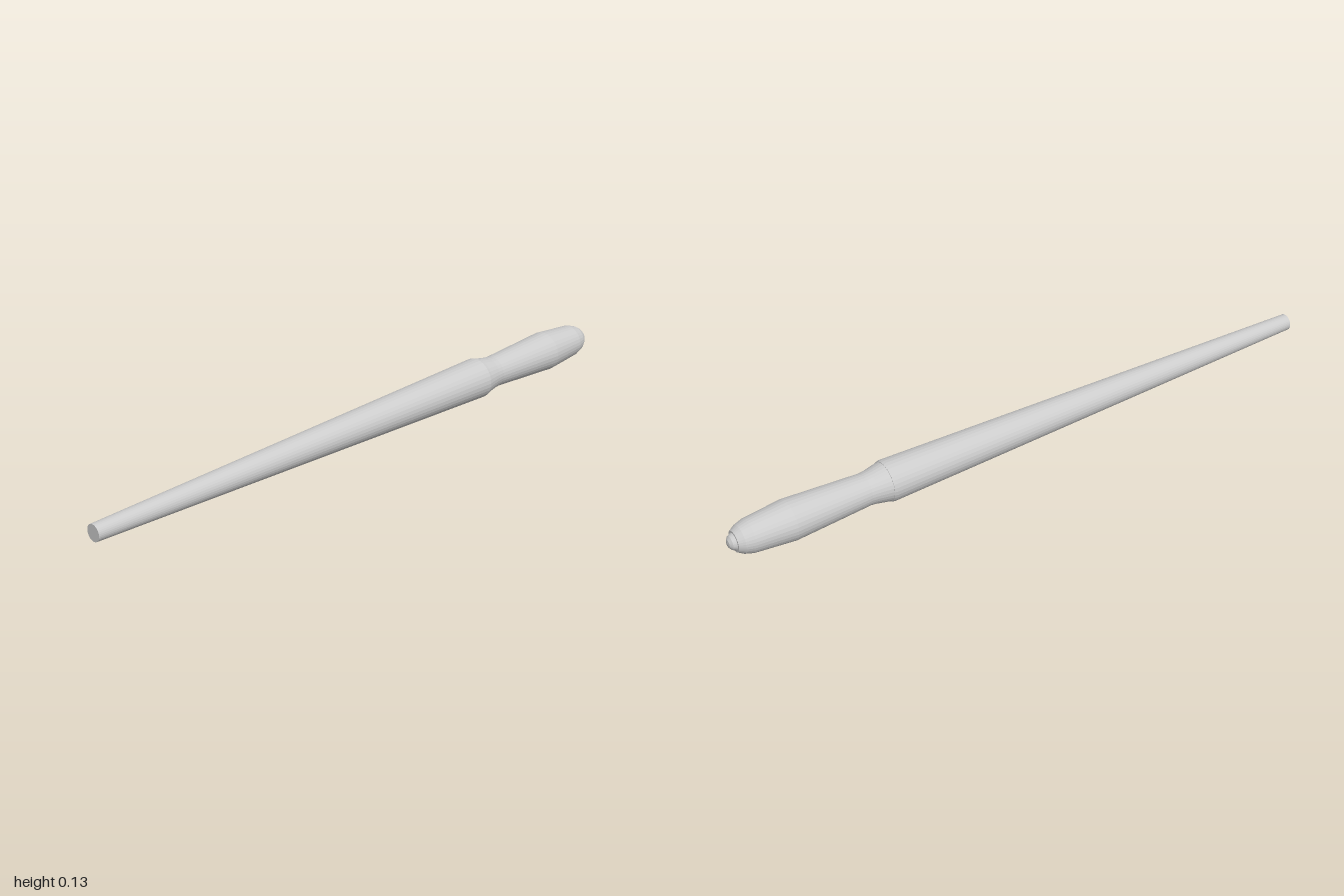
import * as THREE from 'three';

const AXIS_Y = 0.0645;
const SIDES = 32;

// Turned part lying along z; profile is [radius, z] from back to front
function turned(name, profile, material) {
  const geometry = new THREE.LatheGeometry(profile.map(([r, z]) => new THREE.Vector2(r, z)), SIDES);
  geometry.rotateX(Math.PI / 2);
  const mesh = new THREE.Mesh(geometry, material);
  mesh.name = name;
  mesh.position.y = AXIS_Y;
  return mesh;
}

export function createModel() {
  const group = new THREE.Group();
  group.name = 'taperedRod';
  const material = new THREE.MeshStandardMaterial({ color: 0xcccccc, flatShading: true });

  // Long tapered shaft with flat ends
  group.add(turned('shaft', [[0, -0.5], [0.061, -0.5], [0.0635, -0.49], [0.026, 1], [0, 1]], material));

  // Handle: collar, narrow neck, bulge and rounded shoulder
  group.add(turned('handle', [
    [0, -0.98], [0.032, -0.98], [0.043, -0.962], [0.051, -0.935], [0.0625, -0.81],
    [0.049, -0.565], [0.051, -0.545], [0.06, -0.498], [0, -0.498],
  ], material));

  // Small domed button at the back end
  group.add(turned('endButton', [
    [0, -1], [0.012, -0.998], [0.021, -0.991], [0.027, -0.978], [0, -0.978],
  ], material));

  return group;
}
